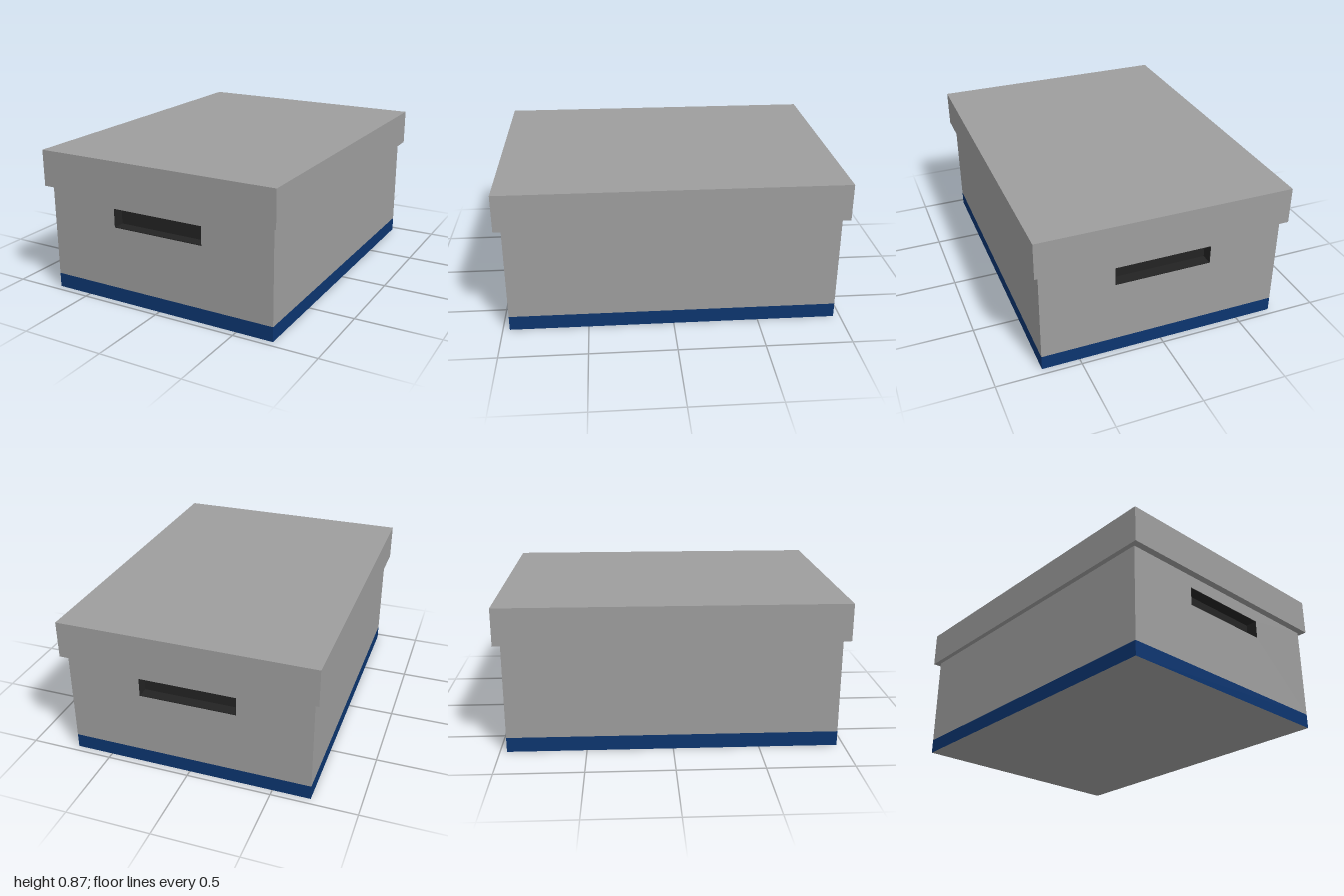
import * as THREE from 'three';

const material = (name, color) => {
  const m = new THREE.MeshStandardMaterial({ color });
  m.name = name;
  return m;
};

export function createModel() {
  const grey = material('grey card', 0x9e9e9e);
  const blue = material('blue band', 0x0c3570);
  const dark = material('dark recess', 0x232323);

  const W = 1.446, D = 1.92;            // body footprint
  const bandTop = 0.087, rim = 0.648, top = 0.865;
  const recess = 0.07;                  // depth of the hand holds
  const hw = 0.288, h0 = 0.46, h1 = 0.572;

  const model = new THREE.Group();
  model.name = 'storageBox';

  const box = (parent, name, mat, [w, h, d], [x, y, z]) => {
    const mesh = new THREE.Mesh(new THREE.BoxGeometry(w, h, d), mat);
    mesh.name = name;
    mesh.position.set(x, y, z);
    parent.add(mesh);
  };

  // Base band: blue sides, grey underside
  box(model, 'baseBand', [blue, blue, grey, grey, blue, blue],
    [W, bandTop, D], [0, bandTop / 2, 0]);

  // Body between the two end panels
  box(model, 'body', grey, [W, rim - bandTop, D - 2 * recess], [0, (rim + bandTop) / 2, 0]);

  // Lid with a small overhang
  box(model, 'lid', grey, [1.504, top - rim, 2], [0, (top + rim) / 2, 0]);

  // End panel with a rectangular hand hold cut out
  const rect = (Type, x, y0, y1) => new Type([
    new THREE.Vector2(-x, y0), new THREE.Vector2(x, y0),
    new THREE.Vector2(x, y1), new THREE.Vector2(-x, y1),
  ]);
  const panelShape = rect(THREE.Shape, W / 2, bandTop, rim);
  panelShape.holes.push(rect(THREE.Path, hw, h0, h1));
  const panelGeometry = new THREE.ExtrudeGeometry(panelShape, { depth: recess, bevelEnabled: false });

  for (const [name, turn] of [['front', 0], ['back', Math.PI]]) {
    const end = new THREE.Group();
    end.name = name + 'End';
    end.rotation.y = turn;
    const panel = new THREE.Mesh(panelGeometry, grey);
    panel.name = name + 'Panel';
    panel.position.z = D / 2 - recess;
    end.add(panel);

    // Dark lining of the hand hold: back plate, sides, sill and top
    const t = 0.004, z = D / 2 - recess / 2, y = (h0 + h1) / 2;
    box(end, 'handleBack', dark, [2 * hw, h1 - h0, t], [0, y, D / 2 - recess + t / 2]);
    for (const s of [-1, 1]) {
      box(end, 'handleSide', dark, [t, h1 - h0, recess], [s * (hw - t / 2), y, z]);
      box(end, 'handleEdge', dark, [2 * hw - 2 * t, t, recess],
        [0, y + s * ((h1 - h0) / 2 - t / 2), z]);
    }
    model.add(end);
  }

  return model;
}
